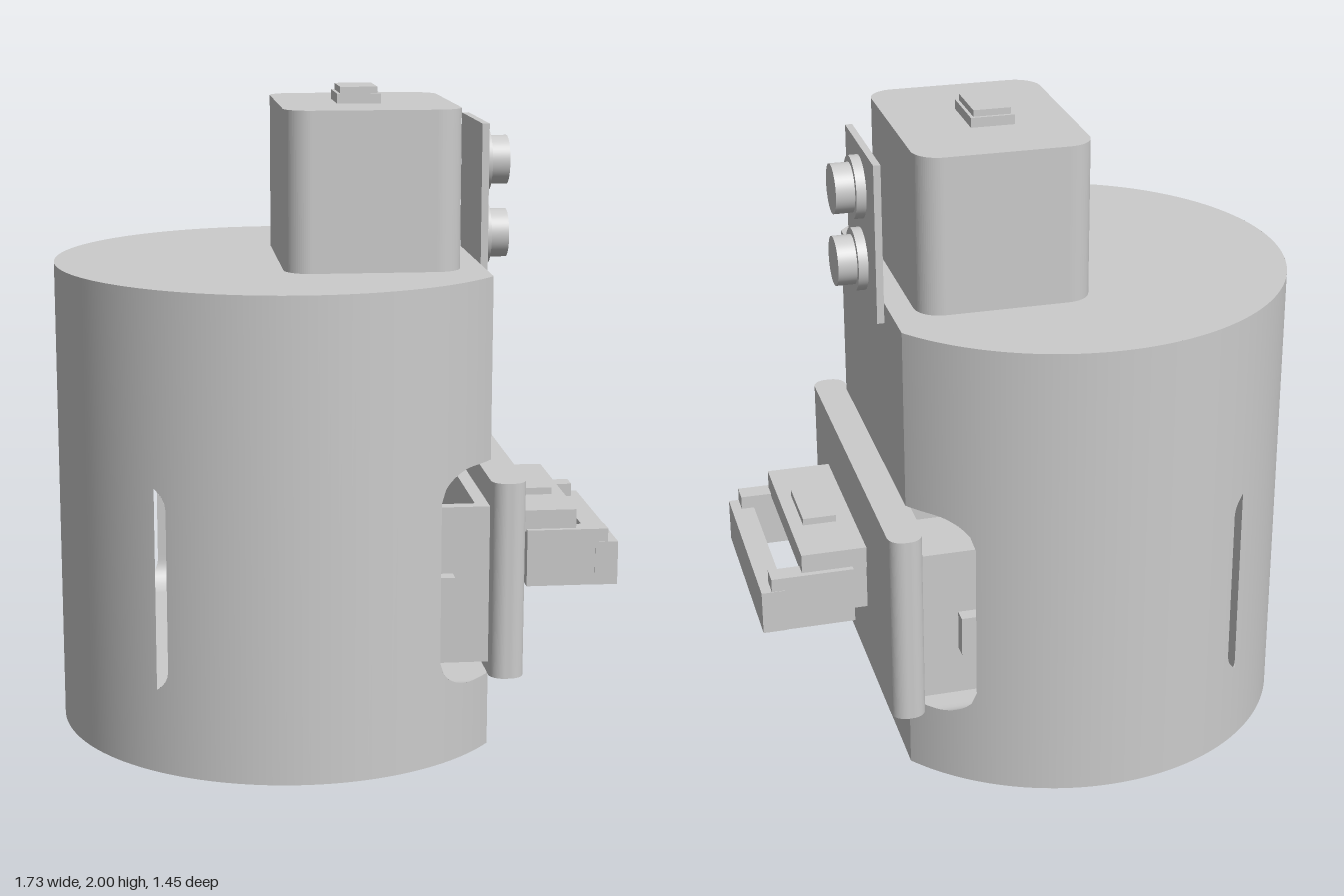
import * as THREE from 'three';

const mat = new THREE.MeshStandardMaterial({ color: 0xcccccc, side: THREE.DoubleSide });

// Body: a drum with a flat face at x = FLAT and a drawer cavity running along x
const CX = -0.145, R = 0.725, H = 1.465, FLAT = 0.435, BACK = -0.585;
const cav = { y0: 0.23, y1: 0.905, w: 0.6, r: 0.09 };

function add(parent, name, geometry, x = 0, y = 0, z = 0) {
  const mesh = new THREE.Mesh(geometry, mat);
  mesh.name = name;
  mesh.position.set(x, y, z);
  parent.add(mesh);
  return mesh;
}

// Box given by its limits
function box(parent, name, x0, x1, y0, y1, z0, z1) {
  return add(parent, name, new THREE.BoxGeometry(x1 - x0, y1 - y0, z1 - z0),
    (x0 + x1) / 2, (y0 + y1) / 2, (z0 + z1) / 2);
}

function roundedRect(x0, x1, y0, y1, r) {
  const s = new THREE.Shape();
  s.absarc(x1 - r, y1 - r, r, 0, Math.PI / 2);
  s.absarc(x0 + r, y1 - r, r, Math.PI / 2, Math.PI);
  s.absarc(x0 + r, y0 + r, r, Math.PI, Math.PI * 1.5);
  s.absarc(x1 - r, y0 + r, r, Math.PI * 1.5, Math.PI * 2);
  s.closePath();
  return s;
}

// Block with rounded vertical edges
function roundedBlock(parent, name, x0, x1, y0, y1, z, r) {
  const g = new THREE.ExtrudeGeometry(roundedRect(x0, x1, -z, z, r),
    { depth: y1 - y0, bevelEnabled: false, curveSegments: 10 });
  g.rotateX(-Math.PI / 2);
  return add(parent, name, g, 0, y0, 0);
}

// Surface between two matching rows of points; normals optional
function strip(a, b, normals) {
  const g = new THREE.BufferGeometry(), n = a.length, idx = [];
  for (let i = 0; i < n - 1; i++) idx.push(i, n + i, i + 1, i + 1, n + i, n + i + 1);
  g.setAttribute('position', new THREE.Float32BufferAttribute([...a, ...b].flat(), 3));
  g.setIndex(idx);
  if (normals) g.setAttribute('normal', new THREE.Float32BufferAttribute([...normals, ...normals].flat(), 3));
  else g.computeVertexNormals();
  return g;
}

// Lower edge of the cavity at a given z, from its rounded corners
function cavityRise(z) {
  const d = Math.min(cav.r, Math.max(0, Math.abs(z) - (cav.w - cav.r)));
  return cav.r - Math.sqrt(cav.r * cav.r - d * d);
}

// Curved wall between two angles, optionally cut by the cavity
function drumWall(parent, a0, a1, open) {
  const n = Math.max(14, Math.ceil(Math.abs(a1 - a0) * 20));
  const rows = [[], [], [], []], normals = [];
  for (let i = 0; i <= n; i++) {
    const t = a0 + (a1 - a0) * i / n;
    const x = CX + R * Math.cos(t), z = R * Math.sin(t), k = cavityRise(z);
    [0, cav.y0 + k, cav.y1 - k, H].forEach((y, j) => rows[j].push([x, y, z]));
    normals.push([Math.cos(t), 0, Math.sin(t)]);
  }
  if (open) {
    add(parent, 'wallBelowOpening', strip(rows[1], rows[0], normals));
    add(parent, 'wallAboveOpening', strip(rows[3], rows[2], normals));
  } else add(parent, 'wall', strip(rows[3], rows[0], normals));
}

function createBody() {
  const body = new THREE.Group();
  body.name = 'body';
  const aFlat = Math.acos((FLAT - CX) / R);
  const aSide = Math.asin(cav.w / R);
  const aBack = Math.acos((BACK - CX) / R);

  // Walls, front half written as angles and mirrored; rows are ordered to face outwards
  const half = [[aFlat, aSide, true], [aSide, Math.PI - aSide, false],
    [Math.PI - aSide, aBack, true], [aBack, Math.PI, false]];
  for (const [a, b, open] of half) {
    drumWall(body, b, a, open);
    drumWall(body, -a, -b, open);
  }

  // Flat face above and below the cavity
  const zf = R * Math.sin(aFlat);
  for (const [y0, y1] of [[0, cav.y0], [cav.y1, H]]) {
    const g = new THREE.PlaneGeometry(zf * 2, y1 - y0);
    g.rotateY(Math.PI / 2);
    add(body, 'flatFace', g, FLAT, (y0 + y1) / 2, 0);
  }

  // Top and bottom discs
  const disc = new THREE.Shape();
  disc.absarc(CX, 0, R, aFlat, 2 * Math.PI - aFlat);
  disc.closePath();
  const top = add(body, 'topFace', new THREE.ShapeGeometry(disc, 96), 0, H, 0);
  top.rotation.x = -Math.PI / 2;
  const bottom = add(body, 'bottomFace', new THREE.ShapeGeometry(disc, 96));
  bottom.rotation.x = Math.PI / 2;

  // Cavity lining, trimmed to the drum
  const outline = roundedRect(-cav.w, cav.w, cav.y0, cav.y1, cav.r).getSpacedPoints(240);
  const inner = [], outer = [];
  for (const p of outline) {
    const half = Math.sqrt(R * R - p.x * p.x);
    inner.push([Math.max(BACK, CX - half), p.y, p.x]);
    outer.push([Math.min(FLAT, CX + half), p.y, p.x]);
  }
  add(body, 'cavityLining', strip(inner, outer));
  const backW = R * Math.sin(aBack);
  const backWall = new THREE.ShapeGeometry(roundedRect(-backW, backW, cav.y0, cav.y1, 0.06));
  backWall.rotateY(Math.PI / 2);
  add(body, 'cavityBack', backWall, BACK, 0, 0);
  return body;
}

function createDrawer() {
  const drawer = new THREE.Group();
  drawer.name = 'drawer';
  // Open basket
  box(drawer, 'basketFloor', -0.5, 0.415, 0.305, 0.34, -0.55, 0.55);
  box(drawer, 'basketBack', -0.5, -0.46, 0.34, 0.79, -0.51, 0.51);
  box(drawer, 'basketFront', 0.375, 0.415, 0.34, 0.79, -0.51, 0.51);
  for (const s of [-1, 1]) {
    box(drawer, 'basketSide', -0.5, 0.415, 0.34, 0.79, s * 0.53 - 0.02, s * 0.53 + 0.02);
    box(drawer, 'sideRunner', -0.4, 0.305, 0.46, 0.585, s * 0.57 - 0.025, s * 0.57 + 0.025);
  }
  roundedBlock(drawer, 'drawerFront', 0.415, 0.52, 0.265, 0.87, 0.6, 0.045);

  // Handle: neck, two rails, end bar, cover and release button
  const handle = new THREE.Group();
  handle.name = 'handle';
  drawer.add(handle);
  box(handle, 'neck', 0.52, 0.6, 0.465, 0.64, -0.24, 0.24);
  for (const s of [-1, 1]) {
    box(handle, 'rail', 0.575, 0.83, 0.465, 0.645, s * 0.283 - 0.032, s * 0.283 + 0.032);
  }
  box(handle, 'endBar', 0.79, 0.862, 0.465, 0.603, -0.317, 0.317);
  box(handle, 'cover', 0.53, 0.732, 0.637, 0.705, -0.297, 0.297);
  box(handle, 'releaseButton', 0.585, 0.69, 0.705, 0.727, -0.105, 0.105);
  return drawer;
}

function createControls() {
  const controls = new THREE.Group();
  controls.name = 'controlPanel';
  box(controls, 'plate', FLAT, 0.457, 1.4, 1.895, -0.2, 0.2);
  for (const y of [1.765, 1.535]) {
    for (const [name, r, x0, x1] of [['dialCollar', 0.096, 0.457, 0.487], ['dialKnob', 0.076, 0.487, 0.545]]) {
      const g = new THREE.CylinderGeometry(r, r, x1 - x0, 48);
      g.rotateZ(-Math.PI / 2);
      add(controls, name, g, (x0 + x1) / 2, y, 0);
    }
  }
  return controls;
}

export function createModel() {
  const model = new THREE.Group();
  model.name = 'airFryer';
  const head = new THREE.Group();
  head.name = 'head';
  roundedBlock(head, 'housing', -0.177, 0.36, H, 1.95, 0.341, 0.08);
  box(head, 'buttonBase', 0.003, 0.138, 1.95, 1.98, -0.098, 0.095);
  box(head, 'buttonCap', 0.013, 0.128, 1.98, 2.0, -0.088, 0.085);
  model.add(createBody(), head, createControls(), createDrawer());
  return model;
}
